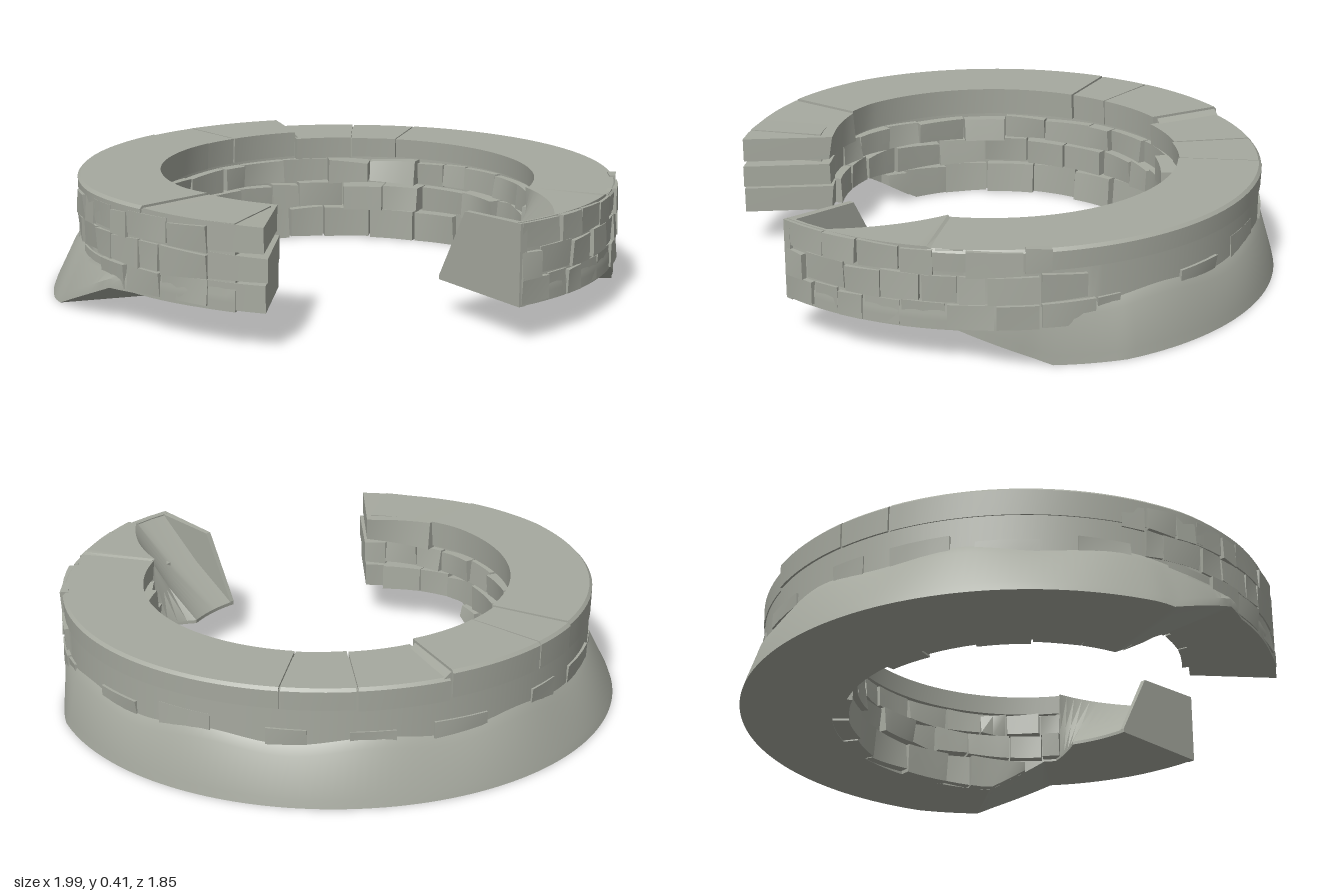
import * as THREE from 'three';
import { toCreasedNormals } from 'three/addons/utils/BufferGeometryUtils.js';

const CX = 0.025, CZ = 0.07, RAD = Math.PI / 180;
const LEFT_END = -151.5, RIGHT_END = 154;
const lerp = THREE.MathUtils.lerp;
const ramp = (v, a, b) => THREE.MathUtils.clamp((v - a) / (b - a), 0, 1);

let seed = 7;
const rnd = (a = 0, b = 1) => {
  seed = (seed * 16807) % 2147483647;
  return a + (b - a) * seed / 2147483647;
};

// Outline of the ring by angle (degrees from the back, positive towards +x)
const outerR = (p) => 0.93 - 0.035 * ramp(-p, 105, 140);
const innerR = (p) => 0.65 - 0.05 * ramp(-p, 115, 150);
const floorY = (p) => 0.12 * ramp(Math.abs(p), 98, 116);
const topY = (p) => (p < -8 ? 0.416 : 0.391);

// Sweeps a closed (radius, height) section, listed counter-clockwise, around the ring;
// skew slants the starting face, in degrees per unit of radius
function sweep(a0, a1, steps, section, skew = 0) {
  const pos = [];
  const rings = [];
  for (let k = 0; k <= steps; k++) {
    const t = k / steps, p = lerp(a0, a1, t);
    rings.push(section(p, t).map(([r, y]) => {
      const q = (p + skew * (1 - t) * (r - 0.75)) * RAD;
      return [CX + r * Math.sin(q), y, CZ - r * Math.cos(q)];
    }));
  }
  const tri = (a, b, c) => pos.push(...a, ...b, ...c);
  const n = rings[0].length;
  for (let k = 0; k < steps; k++) {
    for (let i = 0; i < n; i++) {
      const j = (i + 1) % n, A = rings[k], B = rings[k + 1];
      tri(A[i], A[j], B[i]);
      tri(A[j], B[j], B[i]);
    }
  }
  // End faces
  [[a0, 0], [a1, 1]].forEach(([p, t]) => {
    const ring = rings[t * steps];
    const contour = section(p, t).map(([r, y]) => new THREE.Vector2(r, y));
    THREE.ShapeUtils.triangulateShape(contour, []).forEach(([a, b, c]) => {
      if (t) tri(ring[a], ring[b], ring[c]);
      else tri(ring[a], ring[c], ring[b]);
    });
  });
  const g = new THREE.BufferGeometry();
  g.setAttribute('position', new THREE.Float32BufferAttribute(pos, 3));
  return toCreasedNormals(g, 0.45);
}

export function createModel() {
  const model = new THREE.Group();
  const stone = new THREE.MeshStandardMaterial({ color: 0xa6a99f, side: THREE.DoubleSide });
  stone.name = 'grey stone';

  const add = (parent, name, geometry) => {
    const mesh = new THREE.Mesh(geometry, stone);
    mesh.name = name;
    parent.add(mesh);
  };
  const group = (name) => {
    const g = new THREE.Group();
    g.name = name;
    model.add(g);
    return g;
  };

  // Solid core: flared foot, ramped underside, broken slope at the +x end
  add(model, 'wallCore', sweep(-148, RIGHT_END, 151, (p) => {
    const low = floorY(p), ro = outerR(p);
    const flare = p > 0 ? 1 - ramp(p, 84, 102) : 1 - ramp(-p, 95, 122);
    const broken = ramp(p, 120, 130);
    const foot = lerp(ro, 1 - 0.025 * Math.sin(p * RAD), flare);
    const wave = 0.012 * Math.sin(p * 0.19) * flare;
    const top = p > 121 ? 0.39 : topY(p) - 0.015;
    const inner = innerR(p) + 0.025;
    const lip = p > 121 ? lerp(0.65, ro - 0.012, ramp(p, 122, 144)) : inner;
    const toe = lerp(inner, 0.53, broken);
    return [
      [foot, low],
      [lerp(ro, foot, 0.88), low + 0.03],
      [ro + 0.014 * flare, 0.17 + wave],
      [ro - 0.006, 0.2 + wave],
      [ro - 0.006, top],
      [lip, top],
      [lerp(inner, (lip + 0.53) / 2, broken), 0.245],
      [toe, low + 0.012],
      [toe, low],
    ];
  }));

  // One block between two radii, with a slightly crooked visible face
  function block(parent, name, a0, a1, y0, y1, face, back, crooked, skew = 0) {
    const [d0, d1, e0, e1] = [0, 0, 0, 0].map(() => rnd(-crooked, crooked));
    const [h0, h1] = [rnd(-0.007, 0.007), rnd(-0.007, 0.007)];
    const steps = Math.max(1, Math.round((a1 - a0) / 4));
    add(parent, name, sweep(a0, a1, steps, (p, t) => {
      const low = Math.max(y0 + lerp(h0, h1, t), floorY(p)), high = y1 + lerp(h1, h0, t);
      const fLow = face(p) + lerp(d0, d1, t), fHigh = face(p) + lerp(e0, e1, t);
      const b = back(p);
      return fLow > b
        ? [[fLow, low], [fHigh, high], [b, high], [b, low]]
        : [[b, low], [b, high], [fHigh, high], [fLow, low]];
    }, skew));
  }

  // Fills one course with stones of uneven width
  function course(from, to, minW, maxW, place) {
    let a = from;
    while (a < to - 2) {
      let b = Math.min(to, a + rnd(minW, maxW));
      if (to - b < 4) b = to;
      place(a + 0.25, b - 0.25);
      a = b;
    }
  }

  // Courses on the inner face
  const innerStones = group('innerStones');
  [[0.004, 0.115], [0.122, 0.212], [0.219, 0.3]].forEach(([y0, y1], i) => {
    course(i === 0 ? -110 : -142, i === 0 ? 110 : 122, 8, 17, (a, b) => {
      const out = rnd(0, 0.024) + (a > 0 && a < 32 ? 0.028 : 0);
      block(innerStones, 'innerStone', a, b, y0, y1, (p) => innerR(p) - out, () => 0.74, 0.012);
    });
  });

  // Top course, full wall thickness, split at the large cracks
  const capStones = group('capStones');
  const cracks = [-125, -43, -31, -8, 11, 26, 122];
  cracks.slice(1).forEach((b, i) => {
    const a = cracks[i], drop = rnd(0, 0.008), out = rnd(-0.008, 0.006), twist = rnd(-0.012, 0.012);
    const bottom = 0.306 + rnd(-0.005, 0.01);
    add(capStones, 'capStone', sweep(a + 0.2, b - 0.2, Math.ceil((b - a) / 3), (p, t) => {
      const top = topY((a + b) / 2) - drop;
      const ro = outerR(p) + out * 0.5, ri = innerR(p) + out + twist * (t - 0.5);
      return [[ro, bottom], [ro + 0.002, top - 0.01], [ro - 0.008, top], [ri, top], [ri + 0.006, bottom]];
    }));
  });

  // Courses on the outer face near the two ends
  const outerStones = group('outerStones');
  const behind = (p) => outerR(p) - 0.02;
  [[0.125, 0.205], [0.211, 0.298], [0.304, 0.384]].forEach(([y0, y1], i) => {
    [[84 + i * 7, RIGHT_END], [-142, -100 + i * 5]].forEach(([from, to]) => {
      course(from, to, 5, 12, (a, b) => {
        const out = rnd(-0.002, 0.012);
        block(outerStones, 'outerStone', a, b, y0, y1, (p) => outerR(p) + out, behind, 0.006);
      });
    });
  });

  // Scattered ledge stones above the flared foot
  for (let a = -92; a < 78; a += rnd(13, 22)) {
    const w = rnd(7, 13), y = rnd(0.17, 0.2);
    block(outerStones, 'ledgeStone', a, a + w, y, y + rnd(0.05, 0.09), outerR, behind, 0.005);
  }

  // Slanted full-width blocks closing the -x end, the top one reaching back to the crack
  const endStones = group('endStones');
  [[0.125, 0.212, 0.3], [0.219, 0.3, 0.8], [0.306, 0.4, 0]].forEach(([y0, y1, out], i) => {
    block(endStones, 'endStone', LEFT_END - out, i === 2 ? -125.3 : -141.7, y0, y1,
      (p) => innerR(p) - 0.008, (p) => outerR(p) - 0.004, 0.008, -19);
  });

  // Upright fin left standing at the broken +x end
  add(endStones, 'brokenFin', sweep(152.6, 154.3, 1, () =>
    [[0.935, 0.12], [0.935, 0.388], [0.66, 0.375], [0.53, 0.135], [0.53, 0.12]]));

  // Rubble on the broken slope
  add(endStones, 'slopeRubble', sweep(136, 143, 2, (p, t) =>
    [[0.8, 0.2], [0.79, 0.3 - 0.02 * t], [0.74, 0.272], [0.73, 0.2]]));

  return model;
}
